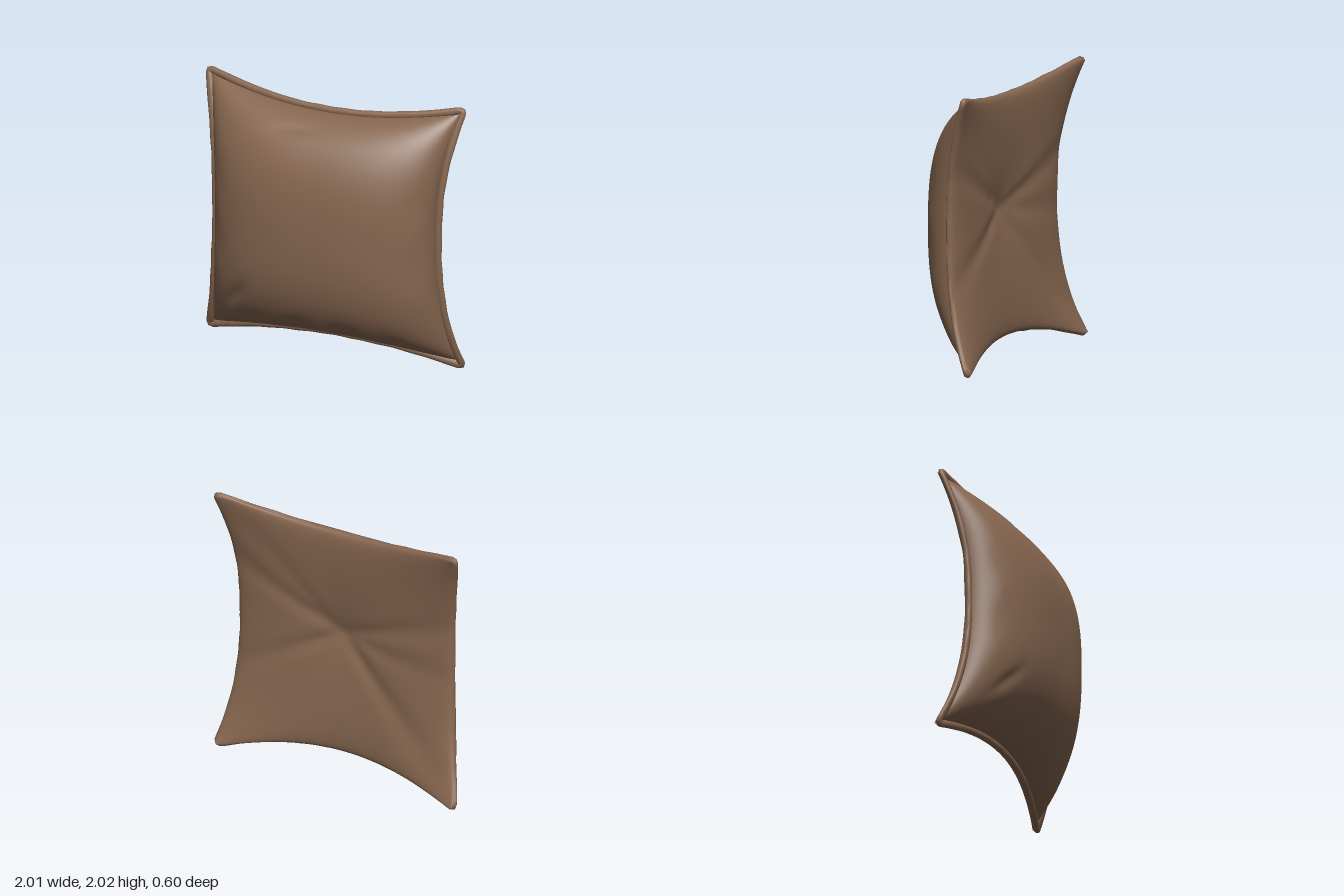
import * as THREE from 'three';

const N = 100; // grid resolution of each panel
const bump = (d, w) => Math.exp(-(d * d) / (w * w));

// Square (u, v) in [-1, 1] mapped to the outline with pulled-in edges
function outline(u, v) {
  const corner = u > 0 && v < 0 ? 0.122 : 0.145;
  const x = u * (0.885 + corner * Math.abs(v) ** 2.3);
  const a = Math.abs(u) ** 2;
  const top = 1.9 + 0.13 * a, bottom = 0.15 - 0.178 * a;
  return [x, THREE.MathUtils.lerp(bottom, top, (v + 1) / 2)];
}

// Depth of the seam surface: corners sweep backwards
const seamZ = (u, v) =>
  -0.09 - 0.055 * v * v * (1 - u * u) - (0.205 - 0.012 * v) * u * u * Math.abs(v) ** 2.5;

// Plump, flat-topped front with a few soft wrinkles
function frontZ(u, v, x, y) {
  const fu = Math.max(0, 1 - Math.abs(u) ** 2.5) ** 0.5;
  const fv = Math.max(0, 1 - Math.abs(v) ** 3.1) ** 0.5;
  const edge = Math.min(1, 8 * (1 - Math.max(Math.abs(u), Math.abs(v))));
  const dent = bump(x + 0.62 - 0.7 * (y - 0.45), 0.06) * bump(y - 0.45, 0.12);
  const fold = bump(y - 1.79 - 0.1 * x, 0.03) * bump(x + 0.2, 0.2);
  const pucker = Math.sin(x * 17 + 1) * bump(v + 0.9, 0.09) * bump(u, 0.8);
  const sidePucker = Math.sin(y * 13) * bump(Math.abs(u) - 0.9, 0.08) * bump(v, 0.7);
  return seamZ(u, v) + 0.386 * fu * fv
    + edge * (0.012 * pucker + 0.006 * sidePucker - 0.02 * dent - 0.014 * fold);
}

// Back panel, drawn in to a central dimple with creases fanning out
const creases = [[26, 0.02], [45, 0.01], [-28, 0.02], [162, 0.018], [188, 0.012], [225, 0.022]];
function backZ(u, v, x, y) {
  const full = (Math.max(0, 1 - u * u) * Math.max(0, 1 - v * v)) ** 0.3;
  const dx = x - 0.04, dy = y - 1.065, r = Math.hypot(dx, dy);
  let z = seamZ(u, v) - 0.108 * full + 0.123 * Math.exp(-r / 0.4);
  for (const [deg, depth] of creases) {
    const a = THREE.MathUtils.degToRad(deg);
    const along = dx * Math.cos(a) + dy * Math.sin(a);
    const across = dy * Math.cos(a) - dx * Math.sin(a);
    if (along > 0) z += depth * full * Math.min(1, along / 0.2) * bump(across, 0.035 + 0.08 * along);
  }
  return z;
}

// One side of the cover; inset is how far it reaches towards the outline,
// rounding tucks its corners into the hem
function panel(depth, side, inset, rounding) {
  const geo = new THREE.PlaneGeometry(2, 2, N, N);
  const p = geo.attributes.position;
  for (let i = 0; i < p.count; i++) {
    const u = side * Math.sin(p.getX(i) * Math.PI / 2), v = Math.sin(p.getY(i) * Math.PI / 2);
    const k = inset * (1 - rounding * (u * v) ** 12);
    const [x, y] = outline(u * k, v * k);
    p.setXYZ(i, x, y, depth(u, v, x, y));
  }
  geo.computeVertexNormals();
  return geo;
}

// Soft rounded lip swept round the whole outline
function hemGeometry() {
  const loops = 480, ring = 14, pos = [], index = [];
  const at = (i) => {
    const t = (i / loops) * Math.PI * 2, c = Math.cos(t), s = Math.sin(t);
    const k = 0.97 / (Math.abs(c) ** 70 + Math.abs(s) ** 70) ** (1 / 70);
    return [c * k, s * k];
  };
  for (let i = 0; i < loops; i++) {
    const [u, v] = at(i);
    const [x, y] = outline(u, v);
    const a = outline(...at(i - 1)), b = outline(...at(i + 1));
    const tx = b[0] - a[0], ty = b[1] - a[1], len = Math.hypot(tx, ty);
    const wave = 1 + 0.06 * Math.sin(i * 0.41) + 0.05 * Math.sin(i * 0.17);
    for (let j = 0; j < ring; j++) {
      const t = (j / ring) * Math.PI * 2;
      const out = Math.cos(t) * 0.028 * wave;
      pos.push(x + (ty / len) * out, y - (tx / len) * out, seamZ(u, v) + 0.002 + Math.sin(t) * 0.022);
      const i2 = (i + 1) % loops, j2 = (j + 1) % ring;
      const A = i * ring + j, B = i2 * ring + j, C = i2 * ring + j2, D = i * ring + j2;
      index.push(A, B, C, A, C, D);
    }
  }
  const geo = new THREE.BufferGeometry();
  geo.setAttribute('position', new THREE.Float32BufferAttribute(pos, 3));
  geo.setIndex(index);
  geo.computeVertexNormals();
  return geo;
}

export function createModel() {
  const group = new THREE.Group();
  group.name = 'cushion';
  const leather = new THREE.MeshStandardMaterial({ color: 0x86664f });
  leather.name = 'brownLeather';
  const add = (name, geo) => {
    const mesh = new THREE.Mesh(geo, leather);
    mesh.name = name;
    group.add(mesh);
  };
  add('frontPanel', panel(frontZ, 1, 0.957, 0));
  add('backPanel', panel(backZ, -1, 0.998, 0.035));
  add('hem', hemGeometry());
  return group;
}
